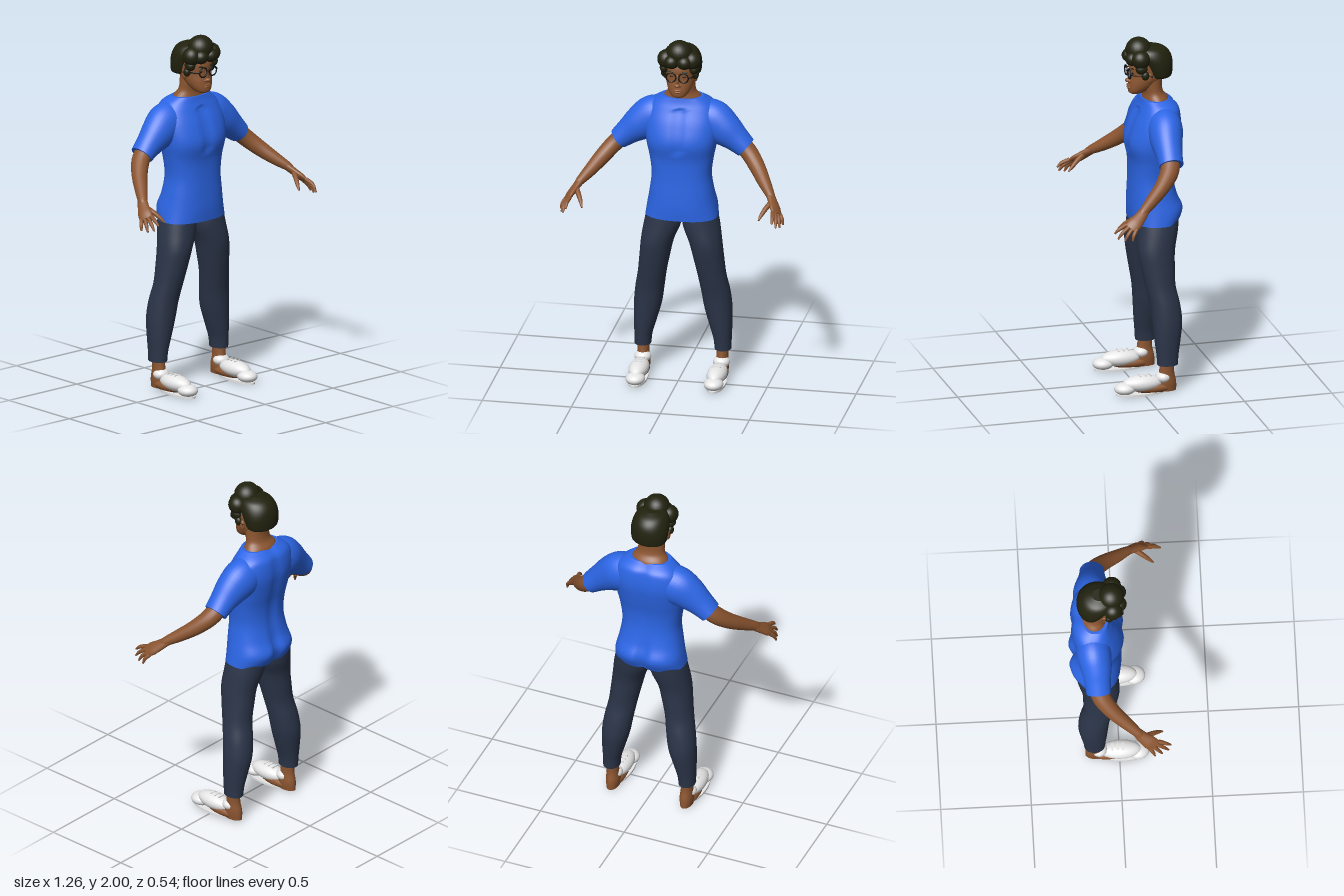
import * as THREE from 'three';

const mat = (name, color) => Object.assign(new THREE.MeshStandardMaterial({ color }), { name });
const V = (x, y, z) => new THREE.Vector3(x, y, z);

// Smoothly interpolates a short table of section rows
function refine(rows, steps) {
  const out = [];
  const at = (i) => rows[Math.max(0, Math.min(rows.length - 1, i))];
  for (let i = 0; i < rows.length - 1; i++) {
    for (let s = 0; s < steps; s++) {
      const t = s / steps;
      out.push(rows[i].map((p1, k) => {
        const p0 = at(i - 1)[k], p2 = at(i + 1)[k], p3 = at(i + 2)[k];
        return p1 + 0.5 * t * (p2 - p0 + t * (2 * p0 - 5 * p1 + 4 * p2 - p3 + t * (3 * (p1 - p2) + p3 - p0)));
      }));
    }
  }
  out.push(rows[rows.length - 1]);
  return out;
}

// Skins rings given as {c, u, v, a, b}, with flat end caps
function skin(rings, segs, power = 2, warp = null) {
  const pos = [], idx = [], n = rings.length;
  const add = (p) => { if (warp) warp(p); pos.push(p.x, p.y, p.z); };
  const soft = (s) => Math.sign(s) * Math.abs(s) ** (2 / power);
  const ring = (r) => {
    for (let j = 0; j < segs; j++) {
      const q = (j / segs) * Math.PI * 2;
      add(r.c.clone().addScaledVector(r.u, r.a * soft(Math.cos(q))).addScaledVector(r.v, r.b * soft(Math.sin(q))));
    }
  };
  rings.forEach(ring);
  for (let i = 0; i < n - 1; i++) {
    for (let j = 0; j < segs; j++) {
      const a = i * segs + j, b = i * segs + (j + 1) % segs;
      idx.push(a, b, b + segs, a, b + segs, a + segs);
    }
  }
  for (const end of [0, n - 1]) {
    const base = pos.length / 3;
    ring(rings[end]);
    add(rings[end].c.clone());
    for (let j = 0; j < segs; j++) {
      const a = base + j, b = base + (j + 1) % segs;
      idx.push(base + segs, ...(end ? [a, b] : [b, a]));
    }
  }
  const g = new THREE.BufferGeometry();
  g.setAttribute('position', new THREE.Float32BufferAttribute(pos, 3));
  g.setIndex(idx);
  g.computeVertexNormals();
  return g;
}

// Level sections: [y, centre x, half width, z front, z back]
function stack(rows, power, warp, segs = 40) {
  const t = V(0, Math.sign(rows[1][0] - rows[0][0]), 0), u = V(1, 0, 0), v = t.clone().cross(u);
  return skin(refine(rows, 5).map(([y, cx, a, f, k]) => ({ c: V(cx, y, (f + k) / 2), u, v, a, b: (f - k) / 2 })), segs, power, warp);
}

// Limb sections across a path: [x, y, z, radius, radius along ref]
function limb(rows, ref = V(0, 0, 1), segs = 20) {
  const r = refine(rows, 5), p = r.map((q) => V(q[0], q[1], q[2]));
  return skin(r.map((q, i) => {
    const t = p[Math.min(i + 1, p.length - 1)].clone().sub(p[Math.max(i - 1, 0)]).normalize();
    const u = ref.clone().cross(t).normalize();
    return { c: p[i], u, v: t.clone().cross(u), a: q[3], b: q[4] };
  }), segs);
}

const ball = (x, y, z, rx, ry = rx, rz = rx) => new THREE.SphereGeometry(1, 24, 16).scale(rx, ry, rz).translate(x, y, z);

function mirrored(g) {
  const m = g.clone().scale(-1, 1, 1), ix = m.index.array;
  for (let i = 0; i < ix.length; i += 3) [ix[i], ix[i + 1]] = [ix[i + 1], ix[i]];
  return m;
}

export function createModel() {
  const skinTone = mat('skin', 0x8b5530), shirt = mat('shirt blue', 0x2c66e6), navy = mat('trouser navy', 0x2b3549);
  const hair = mat('hair', 0x22220f), white = mat('shoe white', 0xe6e6e6), black = mat('glasses black', 0x121212);
  const model = new THREE.Group();
  const add = (name, geo, m) => {
    const mesh = new THREE.Mesh(geo, m);
    mesh.name = name;
    model.add(mesh);
  };
  const pair = (name, geo, m) => {
    add('left ' + name, geo, m);
    add('right ' + name, mirrored(geo), m);
  };

  // Shirt body, with grooves down the spine, seat and chest
  add('shirt body', stack([
    [0.95, 0, 0.203, 0.018, -0.243], [1.02, 0, 0.193, 0.022, -0.272], [1.1, 0, 0.178, 0.02, -0.24],
    [1.2, 0, 0.166, 0.016, -0.22], [1.3, 0, 0.178, 0.018, -0.222], [1.4, 0, 0.198, 0.036, -0.243],
    [1.5, 0, 0.208, 0.01, -0.26], [1.58, 0, 0.192, -0.025, -0.255], [1.62, 0, 0.162, -0.042, -0.24],
    [1.65, 0, 0.118, -0.05, -0.2],
  ], 2.4, (p) => {
    const back = p.z < -0.15, seat = Math.exp(-(((p.y - 1.02) / 0.07) ** 2));
    const groove = Math.exp(-((p.x / 0.03) ** 2));
    if (back) p.z += groove * (0.01 + 0.02 * seat);
    else if (p.z > -0.03 && p.y > 1.35) p.z -= groove * 0.012;
  }, 64), shirt);

  // Sleeves
  pair('sleeve', limb([
    [0.09, 1.53, -0.14, 0.1, 0.09], [0.165, 1.507, -0.14, 0.115, 0.097], [0.235, 1.462, -0.13, 0.1, 0.088],
    [0.3, 1.412, -0.125, 0.076, 0.074], [0.357, 1.363, -0.122, 0.06, 0.068],
  ], undefined, 32), shirt);

  // Arms and hands
  pair('arm', limb([
    [0.32, 1.395, -0.125, 0.05, 0.055], [0.38, 1.338, -0.105, 0.048, 0.052], [0.437, 1.277, -0.05, 0.044, 0.044],
    [0.488, 1.222, 0.02, 0.036, 0.036], [0.533, 1.178, 0.083, 0.025, 0.027], [0.545, 1.163, 0.1, 0.02, 0.022],
  ]), skinTone);
  const spread = V(0.05, -0.04, -0.09).normalize();
  pair('palm', limb([
    [0.528, 1.182, 0.075, 0.022, 0.027], [0.555, 1.148, 0.115, 0.02, 0.034],
    [0.575, 1.122, 0.15, 0.018, 0.041], [0.588, 1.102, 0.18, 0.011, 0.036],
  ], spread), skinTone);
  const tips = [V(0.578, 1.077, 0.266), V(0.597, 1.05, 0.252), V(0.612, 1.038, 0.216), V(0.624, 1.04, 0.175)];
  tips.forEach((tip, i) => {
    const base = V(0.584, 1.107, 0.172).addScaledVector(spread, (i - 1.5) * 0.021);
    const mid = base.clone().lerp(tip, 0.55).add(V(0.004, 0.005, 0.004));
    pair('finger', limb([[...base, 0.012, 0.012], [...mid, 0.0105, 0.0105], [...tip, 0.005, 0.005]], spread, 10), skinTone);
  });
  pair('thumb', limb([
    [0.55, 1.15, 0.12, 0.016, 0.018], [0.525, 1.125, 0.165, 0.014, 0.014],
    [0.508, 1.1, 0.197, 0.011, 0.011], [0.496, 1.075, 0.224, 0.005, 0.005],
  ], spread, 12), skinTone);

  // Trouser legs
  pair('trouser leg', stack([
    [0.98, 0.1, 0.093, -0.005, -0.235], [0.9, 0.108, 0.103, 0.001, -0.225], [0.8, 0.135, 0.091, 0.005, -0.202],
    [0.7, 0.152, 0.084, -0.01, -0.197], [0.6, 0.168, 0.079, -0.03, -0.197], [0.5, 0.185, 0.08, -0.05, -0.217],
    [0.4, 0.198, 0.077, -0.06, -0.226], [0.3, 0.212, 0.063, -0.068, -0.213], [0.22, 0.222, 0.05, -0.076, -0.2],
    [0.16, 0.225, 0.046, -0.08, -0.195],
  ], 2.1), navy);

  // Bare ankles and heels
  pair('ankle', stack([
    [0.2, 0.223, 0.034, -0.1, -0.178], [0.12, 0.222, 0.033, -0.09, -0.175],
    [0.06, 0.22, 0.038, -0.075, -0.187], [0.01, 0.22, 0.033, -0.07, -0.188],
  ], 2, null, 24), skinTone);
  pair('foot', ball(0.22, 0.032, -0.06, 0.045, 0.032, 0.12), skinTone);

  // Shoes: sole, upper, toe cap, tongue and laces
  pair('shoe sole', new THREE.CylinderGeometry(1, 1, 0.012, 32).scale(0.05, 1, 0.135).translate(0.22, 0.006, 0.022), white);
  pair('shoe upper', ball(0.22, 0.062, 0.005, 0.055, 0.046, 0.115), white);
  pair('shoe toe cap', ball(0.22, 0.038, 0.105, 0.054, 0.034, 0.06), white);
  pair('shoe tongue', ball(0.221, 0.088, -0.112, 0.047, 0.033, 0.044), white);
  for (const z of [-0.04, -0.01, 0.02]) {
    pair('lace', new THREE.BoxGeometry(0.042, 0.008, 0.008).translate(0.22, 0.106, z), white);
  }

  // Neck and head
  add('neck', stack([
    [1.63, 0, 0.115, -0.055, -0.205], [1.655, 0, 0.1, -0.06, -0.195], [1.685, 0, 0.079, -0.06, -0.172],
    [1.73, 0, 0.074, -0.05, -0.165], [1.8, 0, 0.072, -0.04, -0.17],
  ]), skinTone);
  add('head', stack([
    [1.68, 0, 0.025, 0.01, -0.04], [1.69, 0, 0.043, 0.022, -0.07], [1.715, 0, 0.061, 0.024, -0.105],
    [1.75, 0, 0.075, 0.02, -0.15], [1.79, 0, 0.082, 0.014, -0.19], [1.84, 0, 0.085, 0.017, -0.2],
    [1.89, 0, 0.078, 0, -0.18], [1.93, 0, 0.045, -0.04, -0.13],
  ], 2.2), skinTone);
  add('nose bridge', ball(0, 1.785, 0.015, 0.01, 0.035, 0.014), skinTone);
  add('nose tip', ball(0, 1.757, 0.025, 0.016, 0.012, 0.017), skinTone);
  add('upper lip', ball(0, 1.728, 0.021, 0.025, 0.006, 0.01), skinTone);
  add('lower lip', ball(0, 1.717, 0.021, 0.022, 0.007, 0.01), skinTone);
  pair('nostril wing', ball(0.013, 1.754, 0.018, 0.009, 0.008, 0.01), skinTone);
  pair('ear', ball(0.085, 1.785, -0.075, 0.011, 0.03, 0.018), skinTone);
  pair('eye', ball(0.034, 1.805, 0.006, 0.01, 0.005, 0.006), black);
  pair('eyebrow', ball(0.036, 1.833, 0.009, 0.022, 0.004, 0.006), hair);

  // Round glasses
  pair('glasses rim', new THREE.TorusGeometry(0.027, 0.004, 8, 32).translate(0.035, 1.805, 0.027), black);
  pair('glasses temple', new THREE.TubeGeometry(new THREE.CatmullRomCurve3(
    [V(0.061, 1.808, 0.027), V(0.079, 1.807, 0.012), V(0.089, 1.803, -0.04), V(0.092, 1.795, -0.09)]), 16, 0.004, 8), black);
  add('glasses bridge', new THREE.CapsuleGeometry(0.0035, 0.016, 4, 8).rotateZ(Math.PI / 2).translate(0, 1.809, 0.03), black);

  // Hair: rounded back, top bun and curls
  add('back hair', stack([
    [1.775, 0, 0.085, -0.085, -0.21], [1.79, 0, 0.1, -0.07, -0.222], [1.85, 0, 0.107, -0.04, -0.226],
    [1.9, 0, 0.1, -0.008, -0.215], [1.935, 0, 0.078, -0.02, -0.185], [1.953, 0, 0.035, -0.06, -0.14],
  ]), hair);
  add('top bun', ball(0, 1.93, -0.035, 0.073, 0.07, 0.072), hair);
  pair('side curl', ball(0.073, 1.893, -0.028, 0.049, 0.052, 0.052), hair);
  pair('front curl', ball(0.035, 1.89, 0.004, 0.043, 0.04, 0.046), hair);
  pair('temple curl', ball(0.083, 1.842, -0.03, 0.026, 0.03, 0.034), hair);
  pair('sideburn curl', ball(0.088, 1.803, -0.05, 0.018, 0.026, 0.022), hair);
  return model;
}
